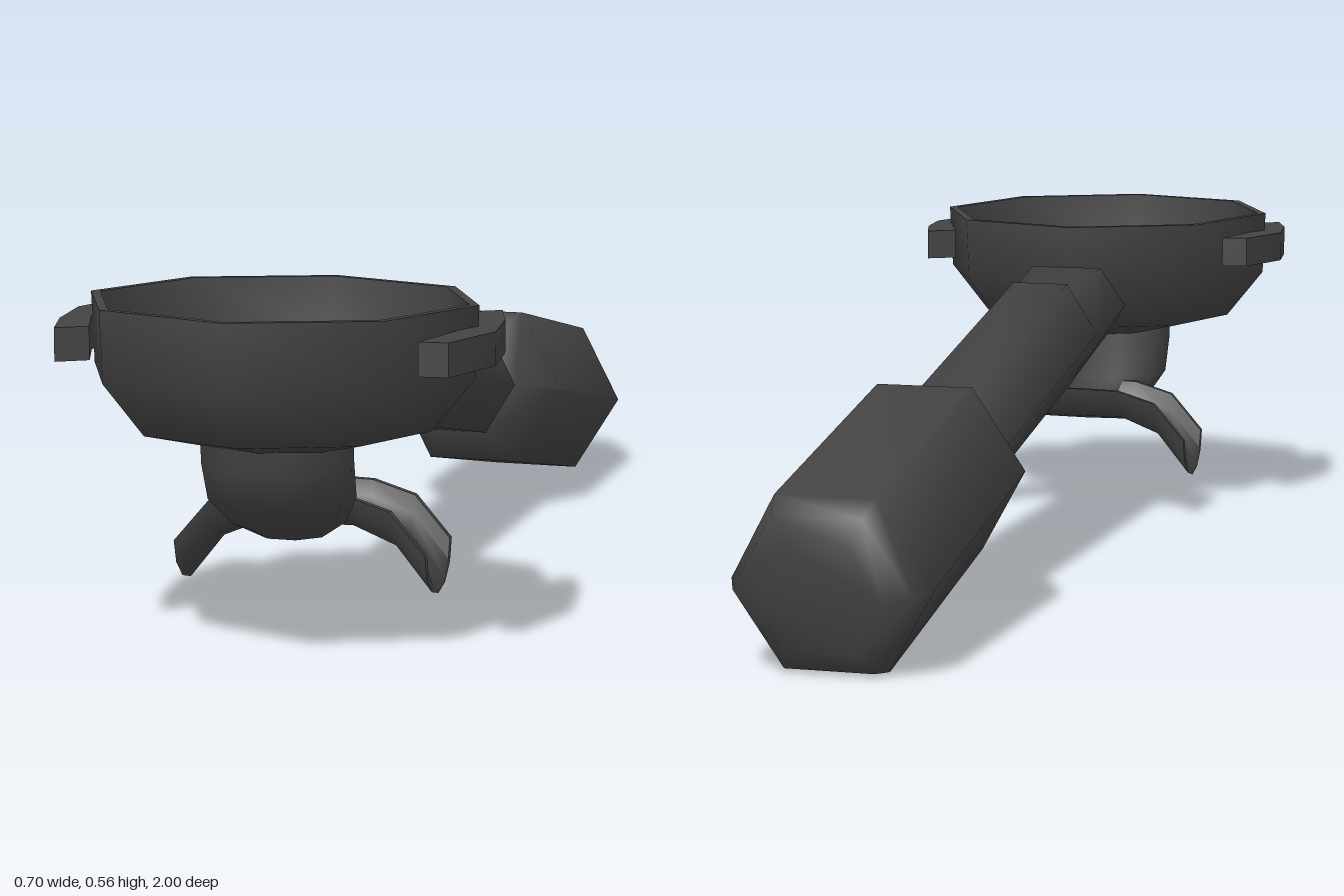
import * as THREE from 'three';
import { toCreasedNormals } from 'three/addons/utils/BufferGeometryUtils.js';

const CREASE = 1.1;
const v = (x, y, z) => new THREE.Vector3(x, y, z);

// Solid through even-sided rings; ends are closed by pairing point i with n-1-i
function loft(rings) {
  const n = rings[0].length, last = (rings.length - 1) * n, idx = [];
  const quad = (a, b, c, d) => idx.push(a, b, c, a, c, d);
  for (let r = 0; r < rings.length - 1; r++) {
    for (let i = 0; i < n; i++) {
      const j = (i + 1) % n, o = r * n;
      quad(o + i, o + j, o + n + j, o + n + i);
    }
  }
  for (let i = 0; i < n / 2 - 1; i++) {
    quad(n - 1 - i, n - 2 - i, i + 1, i);
    quad(last + i, last + i + 1, last + n - 2 - i, last + n - 1 - i);
  }
  // turn the faces outward if the enclosed volume is negative
  const pts = rings.flat();
  let volume = 0;
  for (let t = 0; t < idx.length; t += 3) {
    volume += pts[idx[t]].dot(pts[idx[t + 1]].clone().cross(pts[idx[t + 2]]));
  }
  if (volume < 0) idx.reverse();
  const g = new THREE.BufferGeometry().setFromPoints(pts);
  g.setIndex(idx);
  return toCreasedNormals(g, CREASE);
}

// Hexagonal section of the sloping handle at distance s along its axis
function handleRing(s, r, tall = 1) {
  const ring = [];
  for (let k = 0; k < 6; k++) {
    const a = k * Math.PI / 3, h = r * tall * Math.sin(a);
    ring.push(v(r * Math.cos(a) - 0.005, 0.417 - 0.205 * s + 0.979 * h, 0.4 - 0.979 * s - 0.205 * h));
  }
  return ring;
}

export function createModel() {
  const group = new THREE.Group();
  const metal = new THREE.MeshStandardMaterial({ color: 0x444444 });
  metal.name = 'dark metal';
  const add = (name, geometry, parent = group) => {
    const mesh = new THREE.Mesh(geometry, metal);
    mesh.name = name;
    parent.add(mesh);
    return mesh;
  };

  // Eight-sided bowl with a thin rim and a flat floor
  const profile = [[0, 0.335], [0.1, 0.335], [0.237, 0.366], [0.305, 0.45], [0.31, 0.562],
    [0.295, 0.562], [0.285, 0.465], [0, 0.465]].map(([x, y]) => new THREE.Vector2(x, y - 0.45));
  const bowl = add('bowl', toCreasedNormals(new THREE.LatheGeometry(profile, 8), CREASE));
  bowl.position.set(0, 0.45, 0.69);
  bowl.rotation.set(-0.02, 0.04, 0);

  // Locking lugs, one turned half way round from the other
  const plan = [[0.31, 0.155], [0.348, 0.03], [0.33, -0.09], [0.3, -0.185],
    [0.255, -0.155], [0.29, -0.06], [0.298, 0], [0.265, 0.16]];
  const lugGeometry = loft([0.478, 0.53].map(y => plan.map(([x, z]) => v(x, y, z))));
  ['leftLug', 'rightLug'].forEach((name, i) => {
    const lug = add(name, lugGeometry);
    lug.position.z = 0.69;
    lug.rotation.y = i * Math.PI;
  });

  // Neck, with a flat cut on top where it meets the bowl
  const root = [v(0.095, 0.41, 0.43), v(0.06, 0.482, 0.385), v(-0.07, 0.482, 0.385),
    v(-0.105, 0.41, 0.43), v(-0.055, 0.355, 0.53), v(0.045, 0.355, 0.53)];
  const cut = handleRing(0.165, 0.1, 1.05);
  cut[1].y -= 0.013;
  cut[2].y -= 0.013;
  add('neck', loft([root, cut, handleRing(0.175, 0.1, 1.06), handleRing(0.77, 0.1, 1.03)]));

  // Thick grip with a tapered shoulder and chamfered end
  add('grip', loft([[0.755, 0.1], [0.857, 0.16], [1.346, 0.16], [1.39, 0.142], [1.41, 0.1]]
    .map(([s, r]) => handleRing(s, r))));

  // Spout body: y, half width, front z, back z
  const body = [[0.36, 0.11, 0.82, 0.62], [0.31, 0.11, 0.815, 0.615], [0.25, 0.108, 0.79, 0.6],
    [0.205, 0.083, 0.735, 0.59], [0.186, 0.055, 0.7, 0.59]];
  add('spoutBody', loft(body.map(([y, w, front, back]) => {
    const ring = [];
    for (let k = 0; k < 8; k++) {
      const a = (k + 0.5) * Math.PI / 4, fit = 1 / Math.cos(Math.PI / 8);
      ring.push(v(w * fit * Math.cos(a), y, (front + back) / 2 + (front - back) / 2 * fit * Math.sin(a)));
    }
    return ring;
  })));

  // Open channel bending down to both sides: x, rim y, bottom y
  const half = [[0, 0.245, 0.18], [0.08, 0.243, 0.181], [0.15, 0.222, 0.152], [0.208, 0.155, 0.08]];
  const stations = [...half.slice(1).reverse().map(([x, t, b]) => [-x, t, b]), ...half];
  add('spoutChannel', loft(stations.map(([x, top, bottom]) => {
    const outer = [], inner = [];
    for (let k = 0; k <= 6; k++) {
      const a = k * Math.PI / 6, c = Math.cos(a), d = Math.sin(a);
      outer.push(v(x, top - (top - bottom) * d, 0.545 + 0.076 * c));
      inner.unshift(v(x, top - (top - bottom - 0.012) * d, 0.545 + 0.064 * c));
    }
    return [...outer, ...inner];
  })));

  return group;
}
